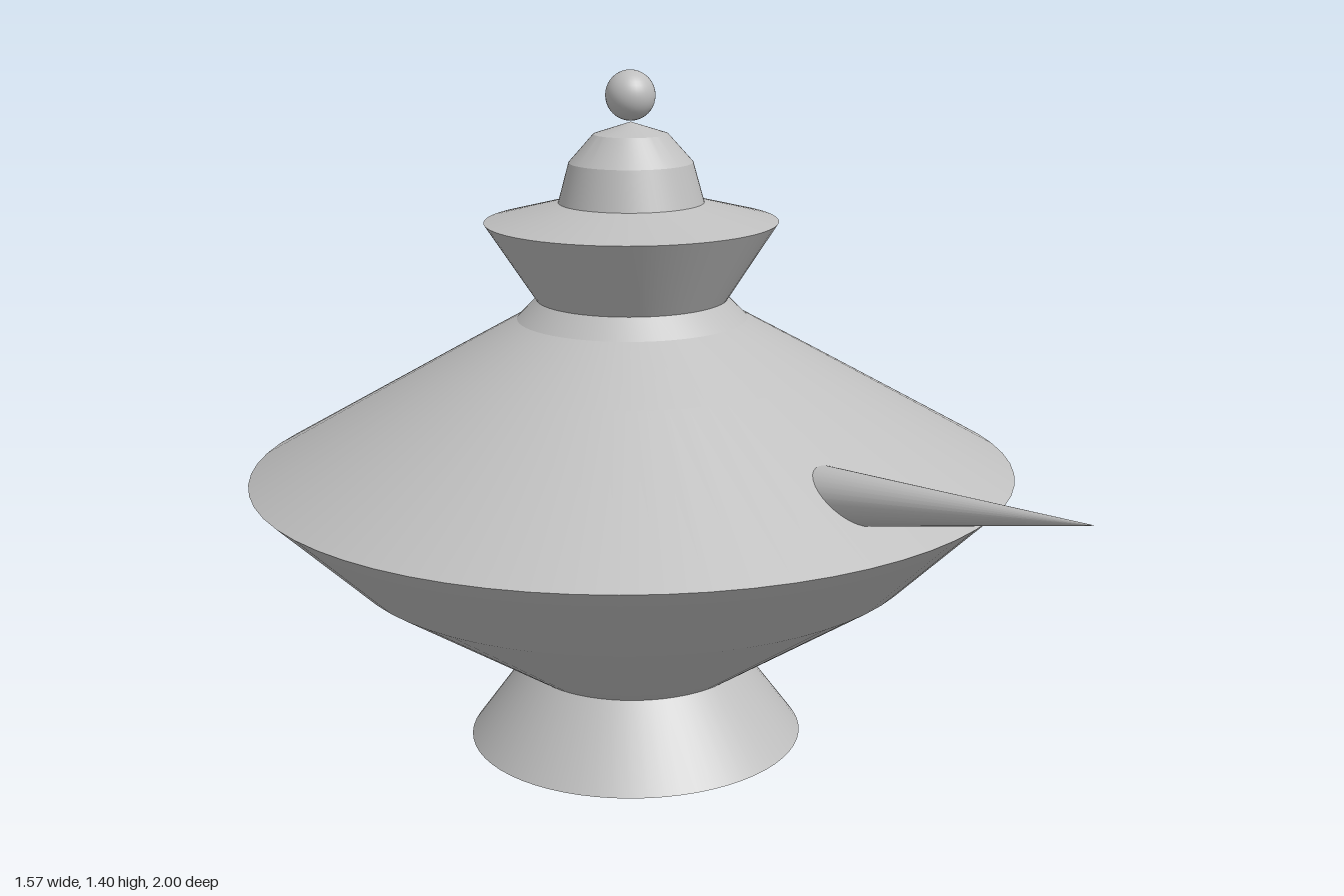
import * as THREE from 'three';
import { toCreasedNormals } from 'three/addons/utils/BufferGeometryUtils.js';

const AXIS_Z = -0.21; // the turned body sits behind the middle, the spout in front

export function createModel() {
  const group = new THREE.Group();
  group.name = 'teapot';
  const clay = new THREE.MeshStandardMaterial({ color: 0xbfbfbf });
  clay.name = 'grey clay';

  const add = (name, geometry, x, y, z) => {
    const mesh = new THREE.Mesh(geometry, clay);
    mesh.name = name;
    mesh.position.set(x, y, z);
    group.add(mesh);
    return mesh;
  };

  // Turned parts: [radius, height] from bottom to top
  const turned = {
    foot: [[0, 0], [0.352, 0], [0.235, 0.16]],
    bowl: [[0.235, 0.16], [0.59, 0.4], [0.785, 0.592]],
    shoulder: [[0.785, 0.592], [0.4, 0.812], [0.235, 0.905], [0.195, 0.945]],
    collar: [[0.195, 0.945], [0.297, 1.102], [0.147, 1.14]],
    lid: [[0.147, 1.14], [0.125, 1.22], [0.075, 1.276], [0, 1.3]],
  };
  for (const [name, profile] of Object.entries(turned)) {
    const points = profile.map(([r, y]) => new THREE.Vector2(r, y));
    add(name, toCreasedNormals(new THREE.LatheGeometry(points, 64), 0.2), 0, 0, AXIS_Z);
  }

  // Knob on the lid
  add('knob', new THREE.SphereGeometry(0.05, 32, 20), 0, 1.352, AXIS_Z);

  // Pointed spout, running from inside the shoulder up to its tip
  const base = new THREE.Vector3(0, 0.648, 0.29);
  const tip = new THREE.Vector3(0, 0.765, 0.998);
  const direction = tip.clone().sub(base);
  const middle = base.clone().add(tip).multiplyScalar(0.5);
  const spout = add('spout', new THREE.ConeGeometry(0.064, direction.length(), 32), 0, middle.y, middle.z);
  spout.quaternion.setFromUnitVectors(new THREE.Vector3(0, 1, 0), direction.normalize());

  // Handle: a flat-lying half ring, mostly sunk into the back of the rim
  const handle = add('handle', new THREE.TorusGeometry(0.3, 0.058, 16, 48, Math.PI), 0, 0.572, -0.642);
  handle.rotation.x = -Math.PI / 2;

  return group;
}
